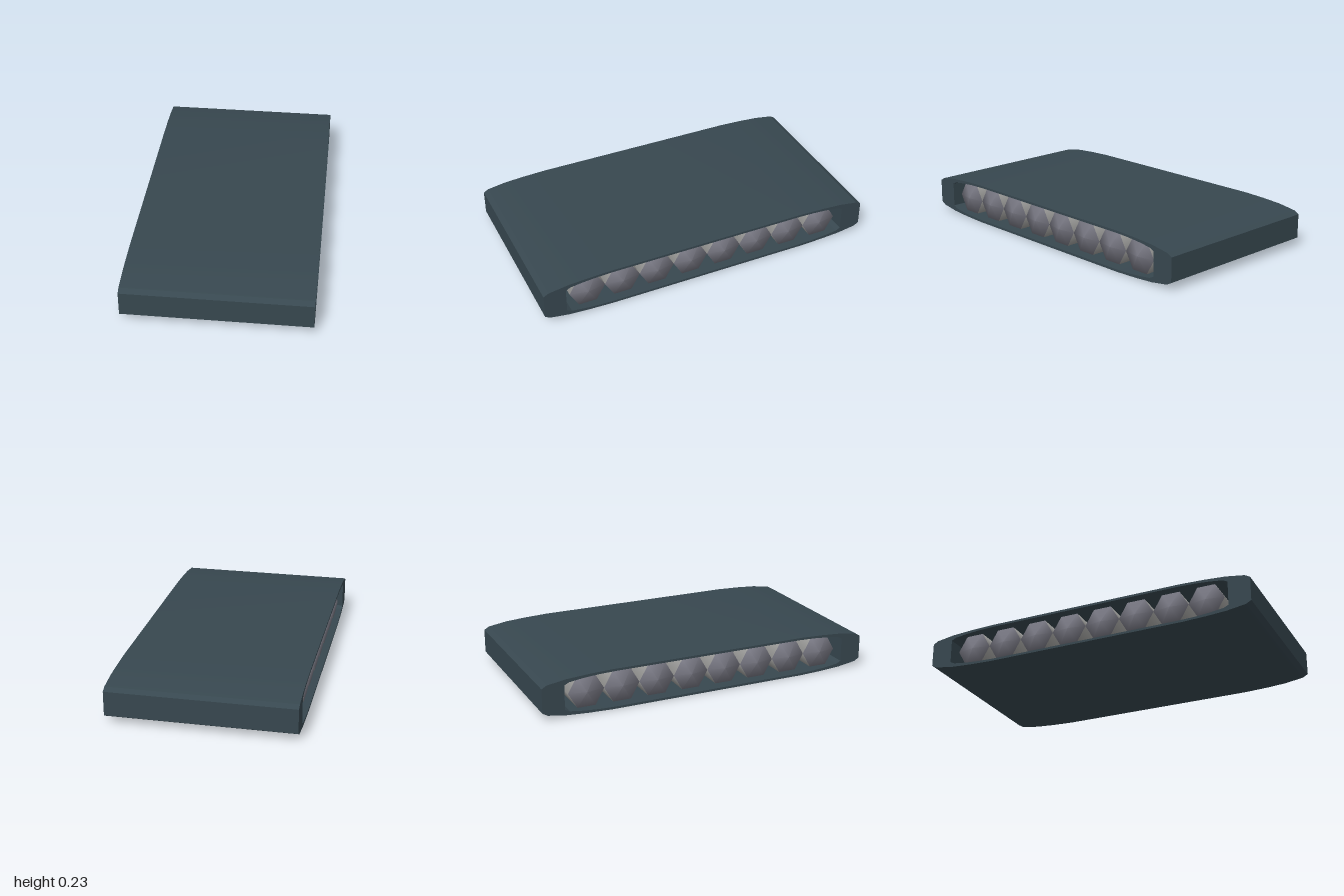
import * as THREE from 'three';
import { toCreasedNormals } from 'three/addons/utils/BufferGeometryUtils.js';

const MID = 0.118; // height of the horizontal symmetry plane

// Closed loop mirrored in both directions from one quarter of its outline
function mirroredLoop(quarter) {
  const upper = [...quarter, ...quarter.slice().reverse().map(([z, y]) => [-z, y])];
  const lower = upper.slice().reverse().map(([z, y]) => [z, -y]);
  return [...upper, ...lower].map(([z, y]) => new THREE.Vector2(z, y + MID));
}

export function createModel() {
  const model = new THREE.Group();
  model.name = 'rollerConveyor';

  const casing = new THREE.MeshStandardMaterial({ color: 0x37474f });
  casing.name = 'dark slate';
  const steel = new THREE.MeshStandardMaterial({ color: 0x787883 });
  steel.name = 'roller steel';
  const light = new THREE.MeshStandardMaterial({ color: 0x9a9a98 });
  light.name = 'light roller grey';

  // Belt: a hollow loop with thick blunt ends, extruded across the width
  const width = 1.054;
  const outline = new THREE.Shape(mirroredLoop(
    [[1, 0.07], [0.97, 0.087], [0.86, 0.104], [0.74, 0.112], [0.6, 0.117]]));
  outline.holes.push(new THREE.Path(mirroredLoop(
    [[0.872, 0.07], [0.845, 0.084], [0.77, 0.094], [0.68, 0.101], [0.58, 0.104]])));
  const beltGeometry = new THREE.ExtrudeGeometry(outline, { depth: width, bevelEnabled: false });
  beltGeometry.translate(0, 0, -width / 2).rotateY(Math.PI / 2);
  const belt = new THREE.Mesh(toCreasedNormals(beltGeometry, 0.3), casing);
  belt.name = 'belt';
  model.add(belt);

  // Rollers: six-sided, softly shaded, with shallow domed ends
  const radius = 0.105, half = 0.51, dome = 0.02;
  const profile = [[0, -half], [radius, dome - half], [radius, half - dome], [0, half]]
    .map(([r, y]) => new THREE.Vector2(r, y));
  const rollerGeometry = new THREE.LatheGeometry(profile, 6);
  for (let side = 0; side < 6; side++) {
    [0, 1, 0].forEach((material, band) => rollerGeometry.addGroup(side * 18 + band * 6, 6, material));
  }
  rollerGeometry.rotateZ(Math.PI / 2);

  const rollers = new THREE.Group();
  rollers.name = 'rollers';
  for (let i = 0; i < 8; i++) {
    const roller = new THREE.Mesh(rollerGeometry, [steel, light]);
    roller.name = 'roller' + (i + 1);
    roller.position.set(0, MID + 0.002, (i - 3.5) * 0.21);
    rollers.add(roller);
  }
  model.add(rollers);

  return model;
}
